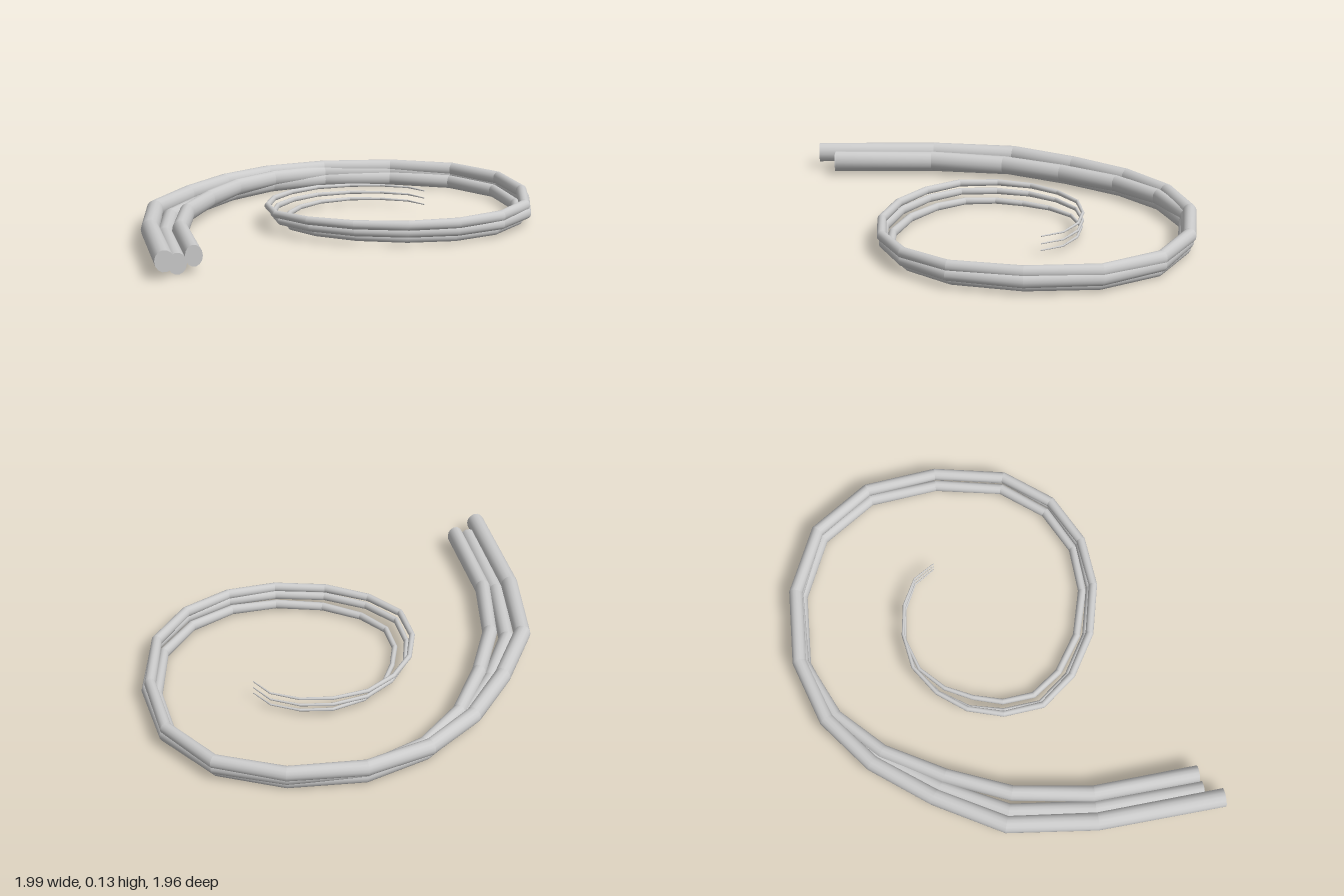
import * as THREE from 'three';

const SIDES = 14;
const UP = new THREE.Vector3(0, 1, 0);

// Spiral path of the outer strand, [x, z] from the thick end to the tip
const SPIRAL = [
  [-0.93, 0.975], [-0.955, 0.36], [-0.905, -0.07], [-0.72, -0.39], [-0.51, -0.66], [-0.26, -0.85],
  [0.055, -0.945], [0.42, -0.92], [0.73, -0.775], [0.915, -0.5], [0.95, -0.15], [0.88, 0.19],
  [0.71, 0.405], [0.48, 0.52], [0.235, 0.54], [-0.015, 0.48], [-0.215, 0.358], [-0.345, 0.195],
  [-0.362, 0], [-0.31, -0.17], [-0.205, -0.305], [-0.06, -0.4], [0.115, -0.425], [0.27, -0.4],
  [0.4, -0.33], [0.465, -0.225],
];
const LAST = SPIRAL.length - 1;

// Each strand follows the spiral, shifted inward by [step, distance] keys;
// trim shortens its thick end and its height eases from y0 to y1
const STRANDS = [
  { name: 'upperStrand', y0: 0.085, y1: 0.103, width: 0.9, trim: 0, inward: [[0, 0], [LAST, 0]] },
  { name: 'middleStrand', y0: 0.08, y1: 0.066, width: 0.8, trim: 0.095,
    inward: [[0, 0.14], [1, 0.14], [2, 0.16], [4, 0.08], [6, 0.015], [10, -0.018], [14, 0.015], [18, 0.027], [22, 0], [LAST, 0]] },
  { name: 'lowerStrand', y0: 0.05, y1: 0.033, width: 0.85, trim: 0.085,
    inward: [[0, 0.065], [2, 0.075], [4, 0.05], [6, 0.02], [10, 0.03], [13, 0.04], [17, 0.085], [19, 0.085], [22, 0.005], [LAST, 0]] },
];

// Linear interpolation between [step, value] keys
function sample(keys, step) {
  const k = Math.max(1, keys.findIndex(([s]) => s >= step));
  const [s0, v0] = keys[k - 1];
  const [s1, v1] = keys[k];
  return THREE.MathUtils.mapLinear(step, s0, s1, v0, v1);
}

// Mean travel direction at a point of a polyline
function direction(points, i) {
  const before = points[i].clone().sub(points[Math.max(i - 1, 0)]).normalize();
  const after = points[Math.min(i + 1, LAST)].clone().sub(points[i]).normalize();
  return before.add(after).normalize();
}

// Centre line of one strand
function strandPath({ y0, y1, trim, inward }) {
  const spine = SPIRAL.map(([x, z]) => new THREE.Vector3(x, 0, z));
  return spine.map((p, i) => {
    const along = direction(spine, i);
    const side = along.clone().cross(UP);
    const point = p.clone().addScaledVector(side, sample(inward, i));
    if (i === 0) point.addScaledVector(along, trim);
    point.y = THREE.MathUtils.lerp(y0, y1, Math.min(1, i / 10));
    return point;
  });
}

// Tapered polyline tube: round within each segment, creased at the joints, capped at both ends
function strandGeometry(strand) {
  const points = strandPath(strand);
  const rings = points.map((p, i) => {
    const side = direction(points, i).cross(UP).normalize();
    const radius = 0.003 + 0.047 * (1 - i / LAST);
    return Array.from({ length: SIDES }, (_, j) => {
      const a = (j / SIDES) * Math.PI * 2;
      return p.clone()
        .addScaledVector(side, Math.cos(a) * radius * strand.width)
        .addScaledVector(UP, Math.sin(a) * radius);
    });
  });

  const positions = [];
  const index = [];
  const push = (ring) => {
    const base = positions.length / 3;
    ring.forEach((v) => positions.push(v.x, v.y, v.z));
    return base;
  };

  // Side walls
  for (let i = 0; i < LAST; i++) {
    const a = push(rings[i]);
    const b = push(rings[i + 1]);
    for (let j = 0; j < SIDES; j++) {
      const k = (j + 1) % SIDES;
      index.push(a + j, b + j, a + k, a + k, b + j, b + k);
    }
  }

  // End caps
  const start = push(rings[0]);
  const end = push(rings[LAST]);
  for (let j = 1; j < SIDES - 1; j++) {
    index.push(start, start + j, start + j + 1);
    index.push(end, end + j + 1, end + j);
  }

  const geometry = new THREE.BufferGeometry();
  geometry.setAttribute('position', new THREE.Float32BufferAttribute(positions, 3));
  geometry.setIndex(index);
  geometry.computeVertexNormals();
  return geometry;
}

export function createModel() {
  const group = new THREE.Group();
  group.name = 'spiralTendril';
  const material = new THREE.MeshStandardMaterial({ color: 0xcccccc });
  for (const strand of STRANDS) {
    const mesh = new THREE.Mesh(strandGeometry(strand), material);
    mesh.name = strand.name;
    group.add(mesh);
  }
  return group;
}
